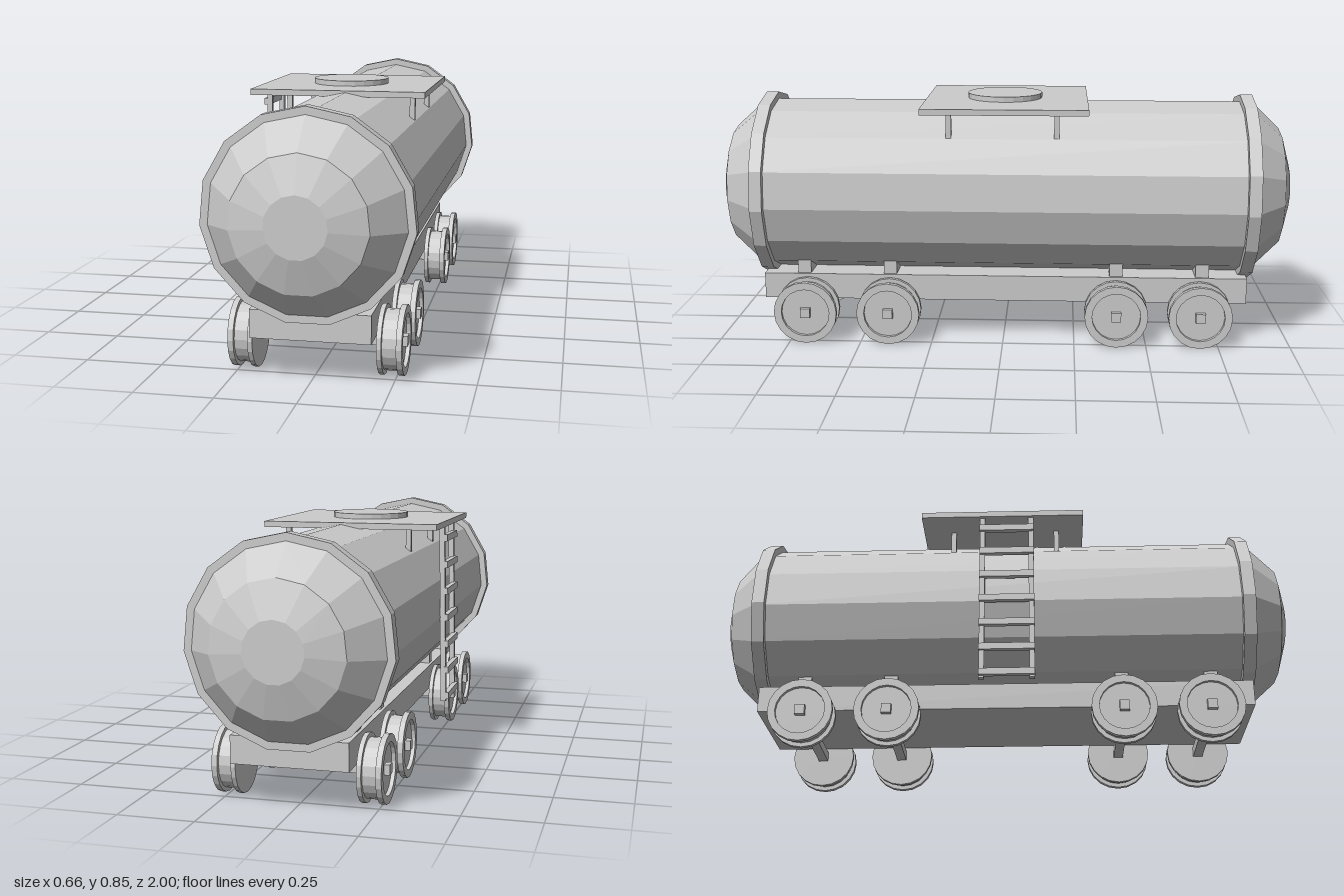
import * as THREE from 'three';

const SIDES = 15; // tank facets, one corner pointing straight up
const TANK_Y = 0.52;
const MID_X = 0.005; // centreline of the undercarriage

const material = new THREE.MeshStandardMaterial({ color: 0xcccccc, flatShading: true });

function add(parent, name, geometry, x = 0, y = 0, z = 0) {
  const mesh = new THREE.Mesh(geometry, material);
  mesh.name = name;
  mesh.position.set(x, y, z);
  parent.add(mesh);
  return mesh;
}

// Box given by its extents along each axis
function addBox(parent, name, [x0, x1], [y0, y1], [z0, z1]) {
  return add(parent, name, new THREE.BoxGeometry(x1 - x0, y1 - y0, z1 - z0),
    (x0 + x1) / 2, (y0 + y1) / 2, (z0 + z1) / 2);
}

// Revolves [radius, axial position] pairs around a vertical axis
function lathe(profile, sides) {
  return new THREE.LatheGeometry(profile.map(([r, h]) => new THREE.Vector2(r, h)), sides);
}

// The same, with the axis lying along z
function latheZ(profile) {
  return lathe(profile, SIDES).rotateY(Math.PI).rotateX(Math.PI / 2);
}

function makeTank() {
  const tank = new THREE.Group();
  tank.name = 'tank';
  add(tank, 'tankShell', latheZ([
    [0, -1], [0.095, -1], [0.21, -0.965], [0.305, -0.866],
    [0.305, 0.855], [0.21, 0.962], [0.095, 0.997], [0, 0.997],
  ]), 0, TANK_Y, 0);
  // Raised bands where the domed ends meet the barrel
  for (const [name, z0, z1] of [['frontBand', 0.813, 0.856], ['rearBand', -0.867, -0.824]]) {
    add(tank, name, latheZ([
      [0.3, z0], [0.329, z0], [0.329, z1], [0.3, z1],
    ]), 0, TANK_Y, 0);
  }
  return tank;
}

function makeUndercarriage() {
  const base = new THREE.Group();
  base.name = 'undercarriage';
  addBox(base, 'frame', [-0.182, 0.192], [0.14, 0.23], [-0.85, 0.846]);

  // Saddles between frame and tank
  for (const z of [0.705, 0.4, -0.395, -0.695]) {
    addBox(base, 'saddle', [-0.172, 0.182], [0.22, 0.28], [z - 0.023, z + 0.023]);
  }

  // Double-flanged wheel, recessed on its outer face
  const wheel = lathe([
    [0, -0.039], [0.11, -0.039], [0.11, -0.024], [0.096, -0.024], [0.096, 0.021],
    [0.11, 0.021], [0.11, 0.039], [0.084, 0.039], [0.084, 0.026], [0, 0.026],
  ], 20);
  for (const z of [0.69, 0.4, -0.395, -0.685]) {
    const wheelset = new THREE.Group();
    wheelset.name = 'wheelset';
    wheelset.position.set(MID_X, 0.111, z);
    add(wheelset, 'axle', new THREE.BoxGeometry(0.552, 0.033, 0.033));
    for (const side of [-1, 1]) {
      const mesh = add(wheelset, side > 0 ? 'leftWheel' : 'rightWheel', wheel, side * 0.232);
      mesh.rotation.z = -side * Math.PI / 2;
    }
    base.add(wheelset);
  }
  return base;
}

function makePlatform() {
  const platform = new THREE.Group();
  platform.name = 'platform';
  addBox(platform, 'deck', [-0.327, 0.27], [0.811, 0.831], [-0.29, 0.28]);
  add(platform, 'hatch', new THREE.CylinderGeometry(0.132, 0.132, 0.018, 24), -0.03, 0.84, 0.003);
  for (const x of [-0.211, 0.216]) {
    for (const z of [-0.183, 0.185]) {
      addBox(platform, 'deckPost', [x - 0.009, x + 0.009], [0.72, 0.812], [z - 0.009, z + 0.009]);
    }
  }
  return platform;
}

function makeLadder() {
  const ladder = new THREE.Group();
  ladder.name = 'ladder';
  // Leans slightly outward at the foot
  ladder.position.set(-0.311, 0.502, 0.01);
  ladder.rotation.z = -0.018;
  for (const z of [-0.085, 0.085]) {
    add(ladder, 'rail', new THREE.BoxGeometry(0.018, 0.622, 0.018), 0, 0, z);
  }
  for (let i = 0; i < 7; i++) {
    add(ladder, 'rung', new THREE.BoxGeometry(0.018, 0.023, 0.19), -0.01, -0.292 + i * 0.093, 0);
  }
  return ladder;
}

export function createModel() {
  const model = new THREE.Group();
  model.name = 'tankWagon';
  model.add(makeTank(), makeUndercarriage(), makePlatform(), makeLadder());
  return model;
}
